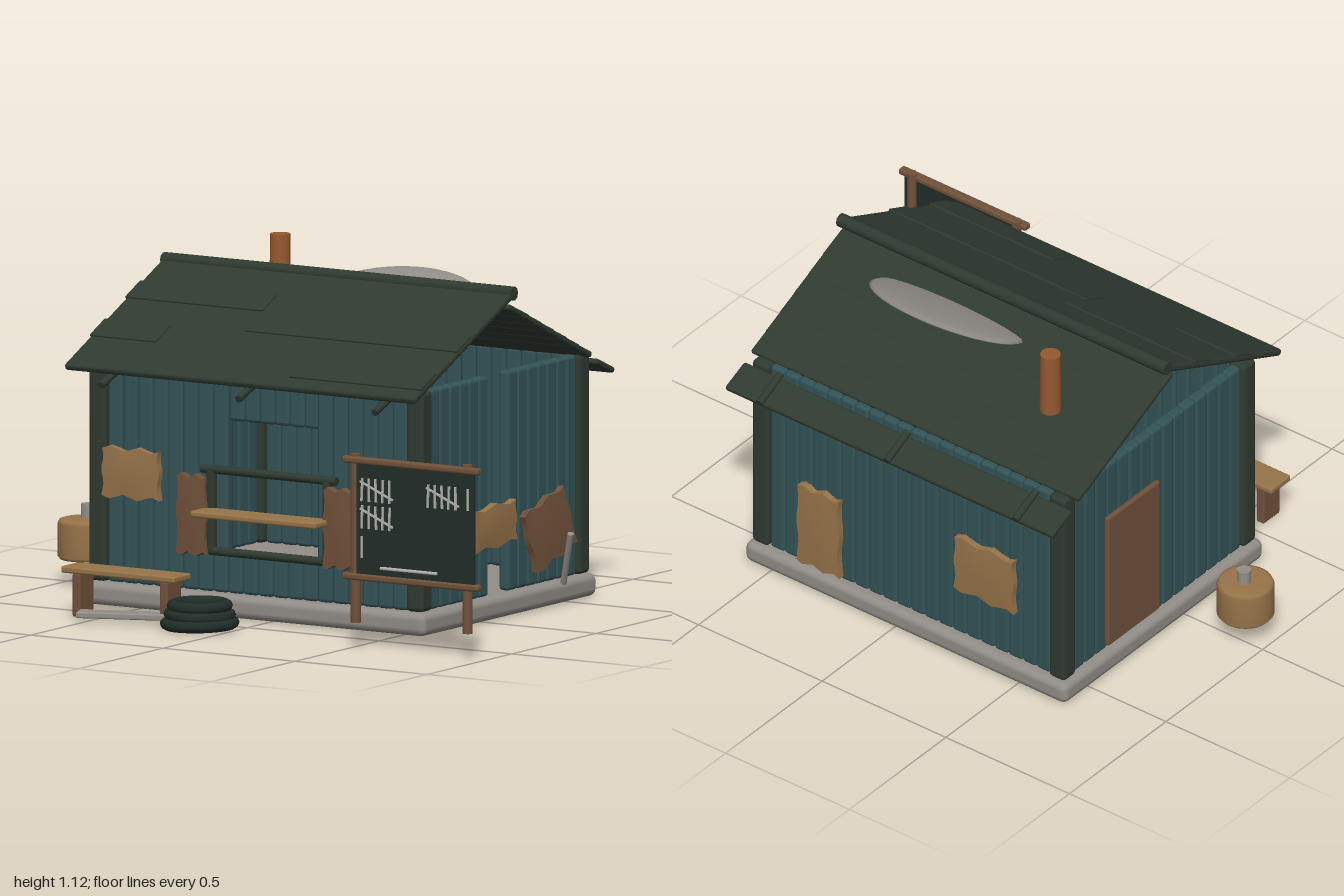
import * as THREE from 'three';
import { RoundedBoxGeometry } from 'three/addons/geometries/RoundedBoxGeometry.js';

const mat = (name, color) => Object.assign(new THREE.MeshStandardMaterial({ color }), { name });

export function createModel() {
  const teal = mat('tealPlanks', 0x335356), green = mat('darkGreenTimber', 0x2f3a30);
  const brown = mat('brownWood', 0x70513a), tan = mat('tanWood', 0x977449);
  const rust = mat('rustPipe', 0x96592f), grey = mat('greyStone', 0x928d88);
  const rubber = mat('rubber', 0x212d28), chalk = mat('chalk', 0xb4b4ac);
  const root = new THREE.Group();
  root.name = 'hut';

  const group = (name, parent = root) => {
    const g = new THREE.Group();
    g.name = name;
    parent.add(g);
    return g;
  };
  const add = (parent, name, geo, material, x, y, z, rx = 0, ry = 0, rz = 0) => {
    const m = new THREE.Mesh(geo, material);
    m.name = name;
    m.position.set(x, y, z);
    m.rotation.set(rx, ry, rz);
    parent.add(m);
    return m;
  };
  // rounded block given by its size
  const block = (w, h, d, r = 0.01) =>
    new RoundedBoxGeometry(w, h, d, 2, Math.min(r, w * 0.45, h * 0.45, d * 0.45));
  // round pole between two points
  const pole = (parent, name, material, a, b, r) => {
    const p = new THREE.Vector3(...a), q = new THREE.Vector3(...b);
    const m = add(parent, name, new THREE.CylinderGeometry(r, r, p.distanceTo(q), 10), material, 0, 0, 0);
    m.position.copy(p).lerp(q, 0.5);
    m.quaternion.setFromUnitVectors(new THREE.Vector3(0, 1, 0), q.sub(p).normalize());
    return m;
  };
  // worn board with wavy edges and a slightly buckled face
  const worn = (w, h, t = 0.024) => {
    const g = new THREE.BoxGeometry(w, h, t, 8, 8, 1), p = g.attributes.position;
    for (let i = 0; i < p.count; i++) {
      const x = p.getX(i), y = p.getY(i), z = p.getZ(i);
      const u = x / w, v = y / h;
      p.setXYZ(i, x + 0.008 * u * Math.sin(v * 11 + 1), y + 0.016 * v * Math.sin(u * 13),
        z + (z > 0 ? 0.005 * Math.cos(u * 3) * Math.cos(v * 3) : 0));
    }
    g.computeVertexNormals();
    return g;
  };

  // foundation
  add(root, 'foundation', block(1.3, 0.075, 1.035, 0.025), grey, -0.05, 0.042, -0.122);

  // plank walls with corner posts
  const walls = group('walls');
  const base = 0.08, top = 0.79, thick = 0.04;
  const plank = (x, z, w, side, y0 = base, y1 = top) =>
    add(walls, 'wallPlank', side ? block(thick, y1 - y0, w, 0.012) : block(w, y1 - y0, thick, 0.012),
      teal, x, (y0 + y1) / 2, z);
  for (const x of [-0.65, 0.55])
    for (const z of [0.343, -0.588])
      add(walls, 'cornerPost', block(0.066, top - base, 0.066, 0.015), green, x, (top + base) / 2, z);
  const pw = 0.0566;
  for (let i = 0; i < 20; i++) {
    const x = -0.616 + pw * (i + 0.5);
    plank(x, -0.59, pw, false);
    if (i >= 8 && i < 14) {
      // serving window
      plank(x, 0.345, pw, false, base, 0.22);
      plank(x, 0.335, pw, false, 0.635, top);
    } else plank(x, 0.345, pw, false);
  }
  const sw = 0.866 / 15;
  for (let i = 0; i < 15; i++) {
    const z = 0.31 - sw * (i + 0.5);
    plank(-0.652, z, sw, true);
    if (i !== 6 && i !== 7) plank(0.552, z, sw, true); // two boards missing
  }

  // roof
  const roof = group('roof');
  const rw = 1.325, rx = -0.052;
  add(roof, 'frontRoof', block(rw, 0.024, 0.655, 0.01), green, rx, 0.91, 0.168, 0.426);
  // loose shingle strips on the front slope
  [[0.52, -0.455, 0.06], [0.25, -0.59, 0.27], [0.8, 0.21, 0.17], [0.5, 0.36, 0.38]].forEach(([w, x, z]) =>
    add(roof, 'shingleStrip', block(w, 0.008, 0.1, 0.003), green, x, 0.925 - (z - 0.168) * 0.454, z, 0.426));
  pole(roof, 'ridgePole', green, [-0.715, 1.047, -0.125], [0.61, 1.047, -0.125], 0.023);
  for (let i = 0; i < 6; i++)
    add(roof, 'backRoofBoard', block(rw, 0.02, 0.135, 0.008), green, rx, 0.982 - 0.0335 * i, -0.158 - 0.0735 * i, -0.4);
  add(roof, 'backEaveBoard', block(rw, 0.02, 0.112, 0.008), green, rx, 0.742, -0.67, -0.4);
  for (const x of [-0.57, -0.05, 0.465]) {
    pole(roof, 'frontRafter', green, [x, 0.73, 0.475], [x, 0.778, 0.35], 0.012);
    pole(roof, 'backRafter', green, [x, 0.733, -0.73], [x, 0.785, -0.62], 0.013);
  }

  // chimney and tilted metal dish stuck in the roof
  add(root, 'chimney', new THREE.CylinderGeometry(0.033, 0.035, 0.218, 16), rust, -0.433, 1.012, -0.372);
  const dish = add(root, 'dish', new THREE.SphereGeometry(1, 32, 12), grey, 0.09, 0.98, -0.235, 0.4);
  dish.scale.set(0.29, 0.022, 0.182);

  // serving window frame, shelf and shutters
  const hatch = group('servingWindow');
  for (const y of [0.215, 0.478])
    pole(hatch, 'windowRail', green, [-0.25, y, 0.378], [0.26, y, 0.378], 0.014);
  for (const x of [-0.212, 0.226])
    add(hatch, 'windowPost', block(0.03, 0.27, 0.03), green, x, 0.345, 0.378);
  add(hatch, 'counter', block(0.475, 0.022, 0.1, 0.008), tan, 0.003, 0.344, 0.425);
  for (const x of [-0.275, 0.28])
    add(hatch, 'shutter', worn(0.108, 0.25, 0.03), brown, x, 0.328, 0.388);
  add(hatch, 'looseShutter', worn(0.16, 0.235, 0.025), brown, 0.41, 0.3, 0.385, 0, 0, -0.05);

  // patches and door
  const patches = group('patches');
  add(patches, 'frontPatch', worn(0.21, 0.155), tan, -0.515, 0.438, 0.376);
  add(patches, 'sidePatch', worn(0.295, 0.13), tan, 0.583, 0.305, -0.015, 0, Math.PI / 2, 0.05);
  add(patches, 'tallBackPatch', worn(0.165, 0.295), tan, 0.305, 0.245, -0.62, 0, Math.PI);
  add(patches, 'wideBackPatch', worn(0.235, 0.2), tan, -0.365, 0.368, -0.62, 0, Math.PI);
  add(root, 'door', block(0.02, 0.5, 0.27, 0.008), brown, -0.68, 0.35, -0.265);

  // crooked side hatch held by a prop
  const flap = group('sideHatch');
  flap.position.set(0.592, 0.255, -0.355);
  flap.rotation.set(0, Math.PI / 2, 0.29);
  add(flap, 'flapBoard', worn(0.24, 0.195, 0.022), brown, 0, 0, 0, -0.08);
  const prop = pole(root, 'hatchProp', grey, [0.65, 0.24, -0.397], [0.595, 0.07, -0.44], 0.013);
  prop.scale.z = 0.8;

  // bench
  const bench = group('bench');
  add(bench, 'benchSeat', block(0.43, 0.022, 0.103, 0.007), tan, -0.41, 0.153, 0.577);
  for (const x of [-0.57, -0.24])
    add(bench, 'benchLeg', block(0.03, 0.14, 0.085, 0.006), brown, x, 0.073, 0.58);

  // fallen plank
  add(root, 'fallenPlank', block(0.41, 0.02, 0.07, 0.005), grey, -0.32, 0.03, 0.63, 0, 0.365, 0);

  // stacked tyres
  const tyres = group('tyreStack');
  [[0.104, 0.022, 0.13], [0.093, 0.05, -0.1], [0.083, 0.078, 0.05]].forEach(([r, y, t]) => {
    const m = add(tyres, 'tyre', new THREE.TorusGeometry(r, 0.023, 10, 32), rubber, -0.11, y, 0.61, Math.PI / 2, t * 0.2, 0);
    m.scale.z = 0.85;
  });

  // squat barrel with a metal cap
  const barrel = group('barrel');
  const profile = [[0, 0], [0.085, 0], [0.093, 0.01], [0.093, 0.115], [0.088, 0.127], [0.075, 0.131], [0, 0.131]];
  add(barrel, 'barrelBody', new THREE.LatheGeometry(profile.map(p => new THREE.Vector2(...p)), 28), tan, -0.908, 0.085, 0.03);
  add(barrel, 'barrelCap', new THREE.CylinderGeometry(0.023, 0.023, 0.05, 14), grey, -0.908, 0.237, 0.022);

  // tally board
  const sign = group('tallyBoard');
  for (const x of [0.522, 0.945])
    pole(sign, 'signPost', brown, [x, 0.085, 0.675], [x, 0.63, 0.675], 0.017);
  for (const y of [0.612, 0.236])
    add(sign, 'signRail', block(0.515, 0.022, 0.03, 0.008), brown, 0.742, y, 0.687);
  add(sign, 'signPanel', block(0.445, 0.365, 0.016, 0.004), rubber, 0.757, 0.424, 0.686);
  const mark = (w, h, x, y, rz = 0) =>
    add(sign, 'tallyMark', new THREE.BoxGeometry(w, h, 0.006), chalk, x, y, 0.698, 0, 0, rz);
  for (const [x0, y, n] of [[0.56, 0.52, 5], [0.56, 0.432, 5], [0.81, 0.52, 5]]) {
    for (let i = 0; i < n; i++) mark(0.006, 0.075, x0 + i * 0.026, y, 0.05 * Math.sin(i * 2 + y * 9));
    mark(0.135, 0.006, x0 + 0.055, y, -0.4);
  }
  mark(0.006, 0.07, 0.56, 0.335);
  mark(0.006, 0.07, 0.96, 0.52);
  add(sign, 'chalkStick', block(0.215, 0.01, 0.012, 0.004), chalk, 0.738, 0.272, 0.7);

  return root;
}
